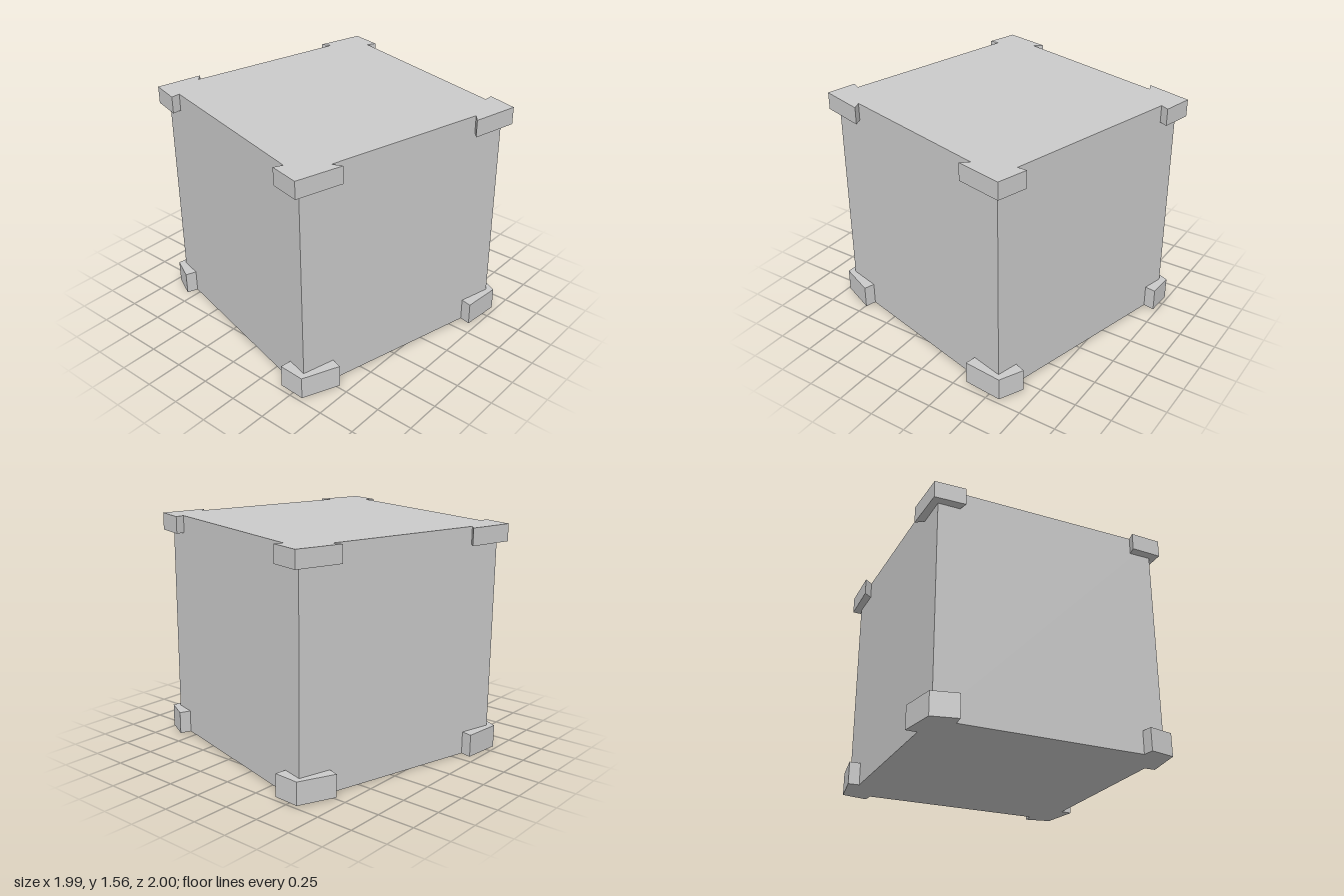
import * as THREE from 'three';

const HALF = 0.769;   // half width of the cube body
const HEIGHT = 1.54;

// L-shaped outlines around one corner (x, z): outer corner, splayed arm tips, arm roots on the body
const TOP = [[0.815, 0.823], [0.824, 0.505], [HALF, 0.546], [HALF, HALF], [0.62, HALF], [0.605, 0.83]];
const BOTTOM = [[0.802, 0.808], [0.844, 0.548], [HALF, 0.545], [HALF, HALF], [0.62, HALF], [0.628, 0.845]];

export function createModel() {
  const model = new THREE.Group();
  model.name = 'crate';
  const material = new THREE.MeshStandardMaterial({ color: 0xcccccc, flatShading: true });

  // Slight lean of the whole crate, then its turn about the vertical
  const lean = new THREE.Group();
  lean.name = 'leaningCrate';
  lean.position.y = 0.778;
  lean.rotation.set(0.004, 0, 0.006);
  const turned = new THREE.Group();
  turned.name = 'turnedCrate';
  turned.rotation.y = -0.2496;
  lean.add(turned);
  model.add(lean);

  // Cube body
  const body = new THREE.Mesh(new THREE.BoxGeometry(HALF * 2, HEIGHT, HALF * 2), material);
  body.name = 'body';
  turned.add(body);

  // Corner bracket: the outline mirrored to a corner and extruded upwards
  function addBracket(name, outline, sx, sz, y, height) {
    const shape = new THREE.Shape(outline.map(([x, z]) => new THREE.Vector2(x * sx, -z * sz)));
    const geometry = new THREE.ExtrudeGeometry(shape, { depth: height, bevelEnabled: false });
    geometry.rotateX(-Math.PI / 2);
    const bracket = new THREE.Mesh(geometry, material);
    bracket.name = name;
    bracket.position.y = y;
    turned.add(bracket);
  }

  for (const sx of [-1, 1]) {
    for (const sz of [-1, 1]) {
      const corner = (sz > 0 ? 'Front' : 'Back') + (sx > 0 ? 'Left' : 'Right');
      addBracket('topBracket' + corner, TOP, sx, sz, HEIGHT / 2 - 0.115, 0.115);
      addBracket('bottomBracket' + corner, BOTTOM, sx, sz, -HEIGHT / 2, 0.153);
    }
  }
  return model;
}
